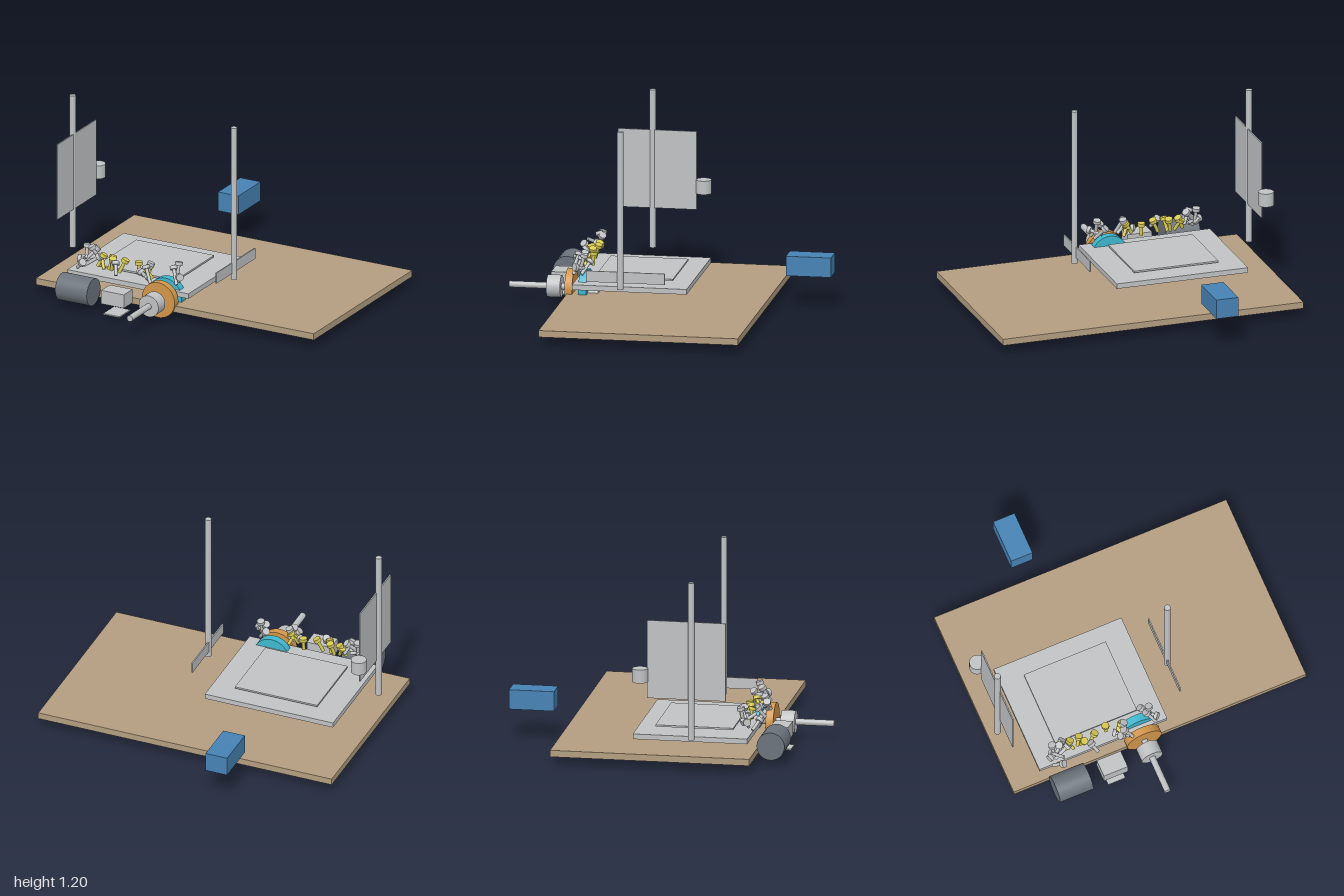
import * as THREE from 'three';

const mat = (name, color, opts = {}) =>
  Object.assign(new THREE.MeshStandardMaterial({ color, ...opts }), { name });

export function createModel() {
  const model = new THREE.Group();
  model.name = 'workbenchRig';
  const wood = mat('wood', 0xb39d80);
  const silver = mat('silver', 0xc0c2c4);
  const slate = mat('slate', 0x6c737c);
  const blue = mat('blue', 0x4682b4);
  const orange = mat('orange', 0xd2964b);
  const cyan = mat('cyan', 0x40b8d0);
  const yellow = mat('yellow', 0xd8ca52);

  const add = (parent, name, geo, material, x, y, z) => {
    const mesh = new THREE.Mesh(geo, material);
    mesh.name = name;
    mesh.position.set(x, y, z);
    parent.add(mesh);
    return mesh;
  };
  // Box given by its extents on each axis
  const box = (name, m, [x0, x1], [y0, y1], [z0, z1]) =>
    add(model, name, new THREE.BoxGeometry(x1 - x0, y1 - y0, z1 - z0), m,
      (x0 + x1) / 2, (y0 + y1) / 2, (z0 + z1) / 2);
  // Cylinder lying along z between two depths
  const axial = (name, m, r, z0, z1, y = 0.118) => {
    const g = new THREE.CylinderGeometry(r, r, z1 - z0, 40).rotateX(Math.PI / 2);
    return add(model, name, g, m, -0.11, y, (z0 + z1) / 2);
  };

  // Board and stacked plates
  box('board', wood, [-0.99, 0.99], [0.053, 0.095], [-0.64, 0.62]);
  box('basePlate', silver, [-0.795, 0.07], [0.14, 0.173], [-0.152, 0.572]);
  box('topPlate', silver, [-0.64, -0.085], [0.186, 0.197], [-0.037, 0.455]);

  // Posts with their thin side panels
  for (const x of [-0.938, 0.212])
    add(model, 'post', new THREE.CylinderGeometry(0.02, 0.02, 1.01, 24), silver, x, 0.695, 0.243);
  box('tallPanel', silver, [-0.931, -0.923], [0.445, 0.945], [-0.038, 0.46]);
  box('lowPanel', silver, [0.201, 0.209], [0.23, 0.3], [-0.038, 0.46]);
  add(model, 'sideCan', new THREE.CylinderGeometry(0.049, 0.049, 0.087, 32), silver, -0.938, 0.593, -0.08);

  // Rear block
  box('rearBlock', blue, [-0.435, -0.29], [0.2, 0.325], [-1, -0.715]);

  // Front drum, box and tray
  add(model, 'drum', new THREE.CylinderGeometry(0.088, 0.088, 0.225, 40).rotateZ(Math.PI / 2),
    slate, -0.64, 0.12, 0.712);
  box('controlBox', silver, [-0.443, -0.281], [0.077, 0.166], [0.655, 0.768]);
  box('tray', silver, [-0.42, -0.303], [0.014, 0.022], [0.645, 0.782]);

  // Wheels on the shared axle
  axial('frontWheel', orange, 0.116, 0.585, 0.633);
  axial('rearWheel', cyan, 0.118, 0.495, 0.545);
  axial('hub', silver, 0.07, 0.67, 0.757);
  axial('axle', silver, 0.02, 0.5, 1.0);
  axial('rearBearing', silver, 0.06, 0.43, 0.5, 0.08);

  // Screws: material, head x y z, tail x y z
  const headGeo = new THREE.CylinderGeometry(0.024, 0.024, 0.022, 16);
  const up = new THREE.Vector3(0, 1, 0);
  const screw = (m, hx, hy, hz, tx, ty, tz) => {
    const head = new THREE.Vector3(hx, hy, hz);
    const dir = head.clone().sub(new THREE.Vector3(tx, ty, tz));
    const len = dir.length();
    const g = new THREE.Group();
    g.name = 'screw';
    g.position.copy(head);
    g.quaternion.setFromUnitVectors(up, dir.normalize());
    add(g, 'screwHead', headGeo, m, 0, -0.011, 0);
    add(g, 'screwShaft', new THREE.CylinderGeometry(0.011, 0.011, len - 0.02, 12), m, 0, -0.01 - len / 2, 0);
    model.add(g);
  };
  const heads = [
    // left cluster
    [silver, -0.685, 0.348, 0.51, -0.68, 0.24, 0.53],
    [silver, -0.61, 0.335, 0.5, -0.68, 0.25, 0.55],
    [silver, -0.645, 0.345, 0.53, -0.6, 0.25, 0.5],
    [silver, -0.725, 0.26, 0.56, -0.63, 0.25, 0.52],
    [silver, -0.7, 0.25, 0.52, -0.64, 0.3, 0.6],
    [silver, -0.58, 0.29, 0.53, -0.68, 0.22, 0.56],
    [silver, -0.65, 0.27, 0.63, -0.71, 0.21, 0.59],
    // middle and right clusters
    [silver, -0.45, 0.29, 0.57, -0.42, 0.22, 0.62],
    [silver, -0.21, 0.32, 0.54, -0.24, 0.22, 0.56],
    [silver, -0.26, 0.28, 0.6, -0.19, 0.21, 0.59],
    [silver, -0.23, 0.31, 0.58, -0.18, 0.21, 0.61],
    [silver, -0.29, 0.25, 0.55, -0.2, 0.24, 0.61],
    [silver, -0.03, 0.348, 0.51, -0.03, 0.24, 0.54],
    [silver, -0.08, 0.3, 0.48, -0.02, 0.22, 0.53],
    [silver, 0.01, 0.27, 0.57, -0.06, 0.25, 0.5],
    [silver, -0.06, 0.32, 0.53, -0.01, 0.22, 0.58],
    // yellow row
    [yellow, -0.56, 0.3, 0.51, -0.6, 0.22, 0.53],
    [yellow, -0.585, 0.29, 0.505, -0.55, 0.21, 0.54],
    [yellow, -0.5, 0.3, 0.505, -0.52, 0.21, 0.53],
    [yellow, -0.48, 0.3, 0.55, -0.5, 0.21, 0.53],
    [yellow, -0.4, 0.3, 0.525, -0.44, 0.21, 0.54],
    [yellow, -0.32, 0.295, 0.505, -0.32, 0.21, 0.51],
    [yellow, -0.22, 0.3, 0.53, -0.27, 0.22, 0.55],
    [yellow, -0.24, 0.27, 0.55, -0.21, 0.21, 0.53],
  ];
  for (const h of heads) screw(...h);

  return model;
}
